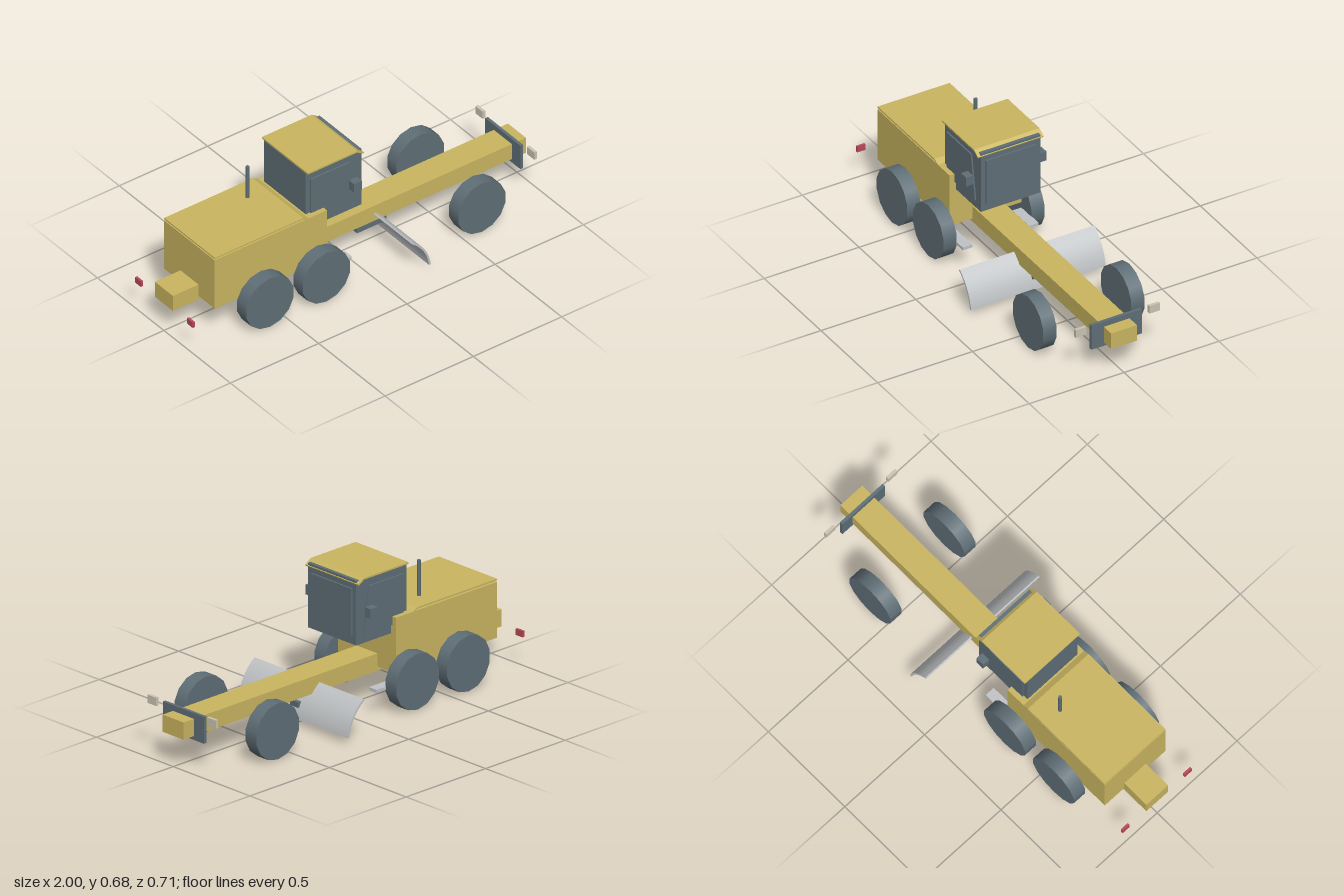
import * as THREE from 'three';

const mat = (name, color, side = THREE.FrontSide) => {
  const m = new THREE.MeshStandardMaterial({ color, side });
  m.name = name;
  return m;
};

export function createModel() {
  const yellow = mat('yellow paint', 0xc9b560);
  const slate = mat('slate grey', 0x5f6e76);
  const steel = mat('light steel', 0xc0c3c5);
  const cream = mat('lamp cream', 0xcac4b4);
  const red = mat('tail lamp red', 0xb8485a);

  const model = new THREE.Group();
  model.name = 'grader';

  const add = (name, geometry, material) => {
    const mesh = new THREE.Mesh(geometry, material);
    mesh.name = name;
    model.add(mesh);
    return mesh;
  };

  // Box given by its lower and upper limits on each axis
  const box = (name, material, [x0, x1], [y0, y1], [z0, z1]) =>
    add(name, new THREE.BoxGeometry(x1 - x0, y1 - y0, z1 - z0), material)
      .position.set((x0 + x1) / 2, (y0 + y1) / 2, (z0 + z1) / 2);

  // Side profile in x and y, extruded across z from z0 to z1
  const profile = (name, material, points, z0, z1) => {
    const shape = new THREE.Shape(points.map(([x, y]) => new THREE.Vector2(x, y)));
    const geometry = new THREE.ExtrudeGeometry(shape, { depth: z1 - z0, bevelEnabled: false });
    add(name, geometry, material).position.z = z0;
  };

  // Frame and engine housing
  box('frameBeam', yellow, [-1, 1], [0.15, 0.234], [-0.068, 0.068]);
  box('engineHousing', yellow, [-0.855, -0.22], [0.17, 0.442], [-0.19, 0.19]);
  profile('engineCover', yellow, [
    [-0.855, 0.449], [-0.355, 0.449], [-0.322, 0.434], [-0.316, 0.438], [-0.353, 0.457], [-0.855, 0.457],
  ], -0.19, 0.19);
  add('exhaust', new THREE.CylinderGeometry(0.009, 0.009, 0.18, 8), slate).position.set(-0.459, 0.54, -0.09);

  // Cab with windscreen and bent roof sheet
  box('cab', slate, [-0.315, 0], [0.358, 0.672], [-0.157, 0.157]);
  box('windscreen', slate, [0, 0.008], [0.4, 0.63], [-0.132, 0.132]);
  profile('roof', yellow, [
    [-0.315, 0.674], [-0.035, 0.674], [0, 0.653], [0.003, 0.659], [-0.033, 0.682], [-0.315, 0.682],
  ], -0.173, 0.173);

  // Blade: a curved plate swept across the width
  const curve = new THREE.QuadraticBezierCurve(
    new THREE.Vector2(0.142, 0.191), new THREE.Vector2(0.226, 0.13), new THREE.Vector2(0.24, 0.029));
  const thickness = 0.01, steps = 14, width = 0.71;
  const outline = [];
  for (const side of [0, 1]) {
    for (let i = 0; i <= steps; i++) {
      const t = side ? 1 - i / steps : i / steps;
      const p = curve.getPoint(t), d = curve.getTangent(t);
      outline.push([p.x - d.y * thickness * (side - 0.5), p.y + d.x * thickness * (side - 0.5)]);
    }
  }
  profile('blade', steel, outline, -width / 2, width / 2);
  box('bladeArm', slate, [0.075, 0.24], [0.083, 0.11], [-0.026, 0.026]);

  // Front plate
  box('frontPlate', slate, [0.92, 0.935], [0.131, 0.262], [-0.133, 0.133]);

  // Paired parts
  const wheel = new THREE.CylinderGeometry(0.137, 0.137, 0.07, 14).rotateX(Math.PI / 2);
  for (const s of [-1, 1]) {
    const label = s > 0 ? 'Front' : 'Back';
    const span = (a, b) => (s > 0 ? [a, b] : [-b, -a]);
    [-0.6, -0.28, 0.6].forEach((x, i) =>
      add(`wheel${label}${i + 1}`, wheel, slate).position.set(x, 0.137, s * 0.232));
    profile(`sideWindow${label}`, slate,
      [[-0.29, 0.4], [-0.04, 0.4], [-0.075, 0.63], [-0.29, 0.63]], ...span(0.157, 0.165));
    box(`mirror${label}`, slate, [-0.083, -0.038], [0.492, 0.54], span(0.175, 0.212));
    box(`step${label}`, steel, [-0.235, -0.087], [0.115, 0.13], span(0.15, 0.2));
    box(`headlamp${label}`, cream, [0.931, 0.946], [0.232, 0.272], span(0.166, 0.222));
    box(`tailLamp${label}`, red, [-1, -0.988], [0.142, 0.172], span(0.173, 0.217));
  }

  return model;
}
